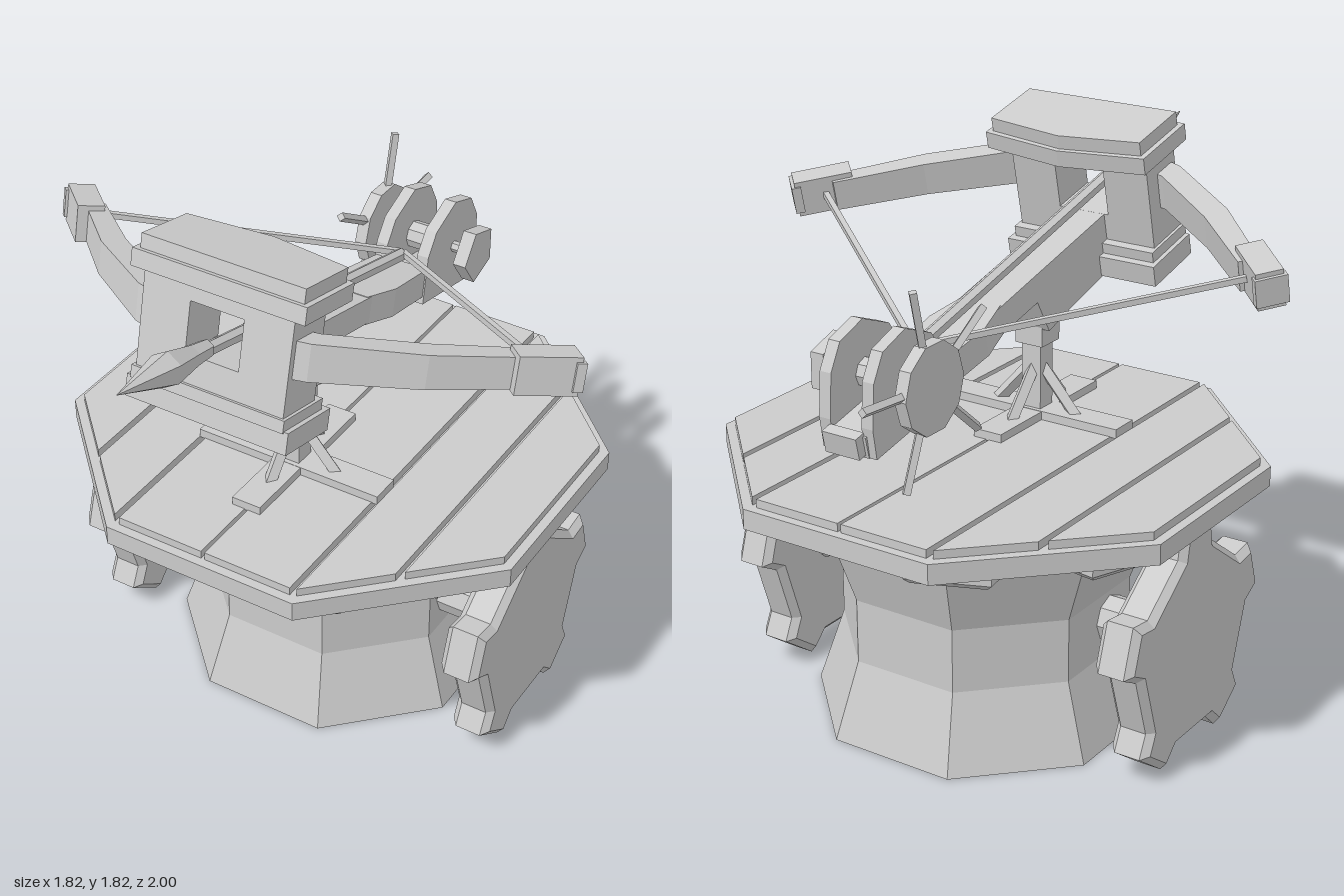
import * as THREE from 'three';

const grey = new THREE.MeshStandardMaterial({ color: 0xcccccc, flatShading: true });
const shell = new THREE.MeshStandardMaterial({ color: 0xcccccc, flatShading: true, side: THREE.DoubleSide });

function add(parent, name, geo, x = 0, y = 0, z = 0, mat = grey) {
  const mesh = new THREE.Mesh(geo, mat);
  mesh.name = name;
  mesh.position.set(x, y, z);
  parent.add(mesh);
  return mesh;
}

const box = (w, h, d) => new THREE.BoxGeometry(w, h, d);
const shapeOf = (pts) => new THREE.Shape(pts.map(([a, b]) => new THREE.Vector2(a, b)));

// extrusion centred on its own depth, with an optional chamfer
function slab(shape, depth, bevel = 0) {
  const geo = new THREE.ExtrudeGeometry(shape, {
    depth: depth - 2 * bevel, bevelEnabled: bevel > 0, bevelThickness: bevel,
    bevelSize: bevel, bevelOffset: -bevel, bevelSegments: 1,
  });
  return geo.translate(0, 0, -(depth - 2 * bevel) / 2);
}
// outline in (z, y), thickness along x
const sideSlab = (pts, width, bevel) => slab(shapeOf(pts), width, bevel).rotateY(-Math.PI / 2);
// outline in (x, z), thickness along y
const planSlab = (pts, height, bevel) => slab(shapeOf(pts), height, bevel).rotateX(Math.PI / 2);

// cog outline: tapered teeth standing on a polygon
function cog(teeth, start, root, tip, rootHalf, tipHalf) {
  const pts = [];
  for (let i = 0; i < teeth; i++) {
    const a = start + (i / teeth) * Math.PI * 2;
    for (const [r, t] of [[root, -rootHalf], [tip, -tipHalf], [tip, tipHalf], [root, rootHalf]]) {
      pts.push([r * Math.cos(a) - t * Math.sin(a), r * Math.sin(a) + t * Math.cos(a)]);
    }
  }
  return pts;
}

// straight bar between two points
function bar(parent, name, from, to, radius, sides = 4) {
  const a = new THREE.Vector3(...from), b = new THREE.Vector3(...to);
  const mesh = add(parent, name, new THREE.CylinderGeometry(radius, radius, a.distanceTo(b), sides));
  mesh.position.copy(a).add(b).multiplyScalar(0.5);
  mesh.quaternion.setFromUnitVectors(new THREE.Vector3(0, 1, 0), b.sub(a).normalize());
  return mesh;
}

function buildCarriage(root) {
  const k = 1 / Math.cos(Math.PI / 8);
  // waisted eight-sided pedestal, open underneath
  const profile = [[0.51, 0], [0.43, 0.25], [0.43, 0.46], [0.51, 0.7]]
    .map(([r, y]) => new THREE.Vector2(r * k, y));
  add(root, 'pedestal', new THREE.LatheGeometry(profile, 8, Math.PI / 8), 0, 0, -0.17, shell);
  add(root, 'turntableCog', planSlab(cog(8, Math.PI / 8, 0.62, 0.7, 0.15, 0.13), 0.095, 0.02), 0, 0.73, -0.1);

  // wheels and axle
  add(root, 'axle', new THREE.CylinderGeometry(0.075, 0.075, 1.24, 8).rotateZ(Math.PI / 2), 0, 0.37, -0.113);
  for (const s of [-1, 1]) {
    add(root, 'wheel', sideSlab(cog(5, Math.PI / 2, 0.31, 0.39, 0.095, 0.08), 0.13, 0.022), s * 0.675, 0.367, -0.113);
  }

  // octagonal deck with planks clipped to its outline
  const deck = new THREE.CylinderGeometry(0.8 * k, 0.8 * k, 0.065, 8).rotateY(Math.PI / 8);
  add(root, 'deck', deck, 0, 0.818, -0.125);
  const reach = (x) => Math.min(0.77, 0.77 * Math.SQRT2 - x);
  for (const s of [-1, 1]) {
    for (const [a, b] of [[0.006, 0.305], [0.325, 0.535], [0.555, 0.77]]) {
      const pts = [[s * a, -reach(a)], [s * b, -reach(b)], [s * b, reach(b)], [s * a, reach(a)]];
      add(root, 'plank', planSlab(pts, 0.03), 0, 0.862, -0.125);
    }
  }
}

function buildStand(root) {
  const z = 0.13;
  add(root, 'footBeam', box(0.65, 0.03, 0.1), 0, 0.89, z);
  add(root, 'crossFootBeam', box(0.1, 0.03, 0.56), 0, 0.889, z);
  add(root, 'post', box(0.07, 0.3, 0.07), 0, 1.05, z);
  add(root, 'postCollar', box(0.1, 0.09, 0.1), 0, 1.165, z);
  for (const [dx, dz] of [[1, 0], [-1, 0], [0, 1], [0, -1]]) {
    bar(root, 'brace', [dx * 0.15, 0.89, z + dz * 0.15], [0, 1.06, z], 0.022);
  }
}

function buildWeapon(root) {
  const w = new THREE.Group();
  w.name = 'ballista';
  w.position.set(0, 1.2, 0.13);
  w.rotation.x = -0.228;
  root.add(w);

  // stock with a deeper front and a flared tail
  add(w, 'stock', sideSlab([[0.49, 0.02], [0.07, 0], [-0.05, -0.01], [-0.09, 0.115], [-0.62, 0.115],
    [-0.62, 0.2], [0.35, 0.21], [0.49, 0.21]], 0.15));
  add(w, 'stockFlare', planSlab([[0.07, -0.27], [0.1, -0.4], [0.09, -0.62], [-0.09, -0.62],
    [-0.1, -0.4], [-0.07, -0.27]], 0.095), 0, 0.158, 0);
  add(w, 'tail', box(0.14, 0.07, 0.38), 0, 0.13, -0.78);
  add(w, 'tailNub', box(0.12, 0.07, 0.04), 0, 0.14, -0.98);

  // housing with a firing window, sill and roof
  const frame = shapeOf([[-0.25, 0.08], [0.25, 0.08], [0.25, 0.43], [-0.25, 0.43]]);
  frame.holes.push(new THREE.Path([[-0.09, 0.21], [-0.09, 0.37], [0.09, 0.37], [0.09, 0.21]]
    .map(([x, y]) => new THREE.Vector2(x, y))));
  add(w, 'housing', slab(frame, 0.17), 0, 0, 0.41);
  add(w, 'sill', box(0.55, 0.07, 0.23), 0, 0.05, 0.385);
  add(w, 'sillTrim', box(0.52, 0.04, 0.21), 0, 0.1, 0.4);
  const roof = (x, f, b) => [[-x, f], [x, f], [x, b], [0, b - 0.04], [-x, b]];
  add(w, 'roof', planSlab(roof(0.29, 0.51, 0.255), 0.055), 0, 0.447, 0);
  add(w, 'roofCap', planSlab(roof(0.272, 0.495, 0.27), 0.045), 0, 0.497, 0);

  // bow arms, tip blocks and string
  for (const s of [-1, 1]) {
    const arm = [[0.2, 0.49], [0.29, 0.46], [0.56, 0.27], [0.79, 0.04], [0.74, 0.0],
      [0.52, 0.2], [0.27, 0.38], [0.2, 0.4]].map(([x, z]) => [s * x, z]);
    const geo = planSlab(arm, 0.12);
    // taper the arm height toward its tip
    const p = geo.attributes.position;
    for (let i = 0; i < p.count; i++) p.setY(i, p.getY(i) * (1.05 - 0.3 * Math.abs(p.getX(i))));
    add(w, 'bowArm', geo, 0, 0.293, 0);
    const tip = add(w, 'bowTip', box(0.085, 0.12, 0.19), s * 0.8, 0.3, 0.02);
    tip.rotation.y = -s * 0.8;
    const rim = add(w, 'bowTipRim', box(0.1, 0.09, 0.03), s * 0.866, 0.3, -0.042);
    rim.rotation.y = -s * 0.8;
    bar(w, 'bowString', [s * 0.77, 0.3, -0.01], [0, 0.24, -0.61], 0.013);
  }

  // bolt
  bar(w, 'boltShaft', [0, 0.235, -0.6], [0, 0.262, 0.62], 0.022, 6);
  const head = [[0, 0], [0.028, 0], [0.035, 0.08], [0.055, 0.2], [0, 0.43]].map(([r, y]) => new THREE.Vector2(r, y));
  add(w, 'boltHead', new THREE.LatheGeometry(head, 6).rotateX(Math.PI / 2), 0, 0.265, 0.53);

  // winch: cheek plates, drum, axle, hub and spoked wheel
  const cheek = [[-0.616, 0.086], [-0.606, 0.249], [-0.639, 0.327], [-0.748, 0.403], [-0.86, 0.39],
    [-0.921, 0.321], [-0.961, 0.191], [-0.967, 0.095]];
  for (const s of [-1, 1]) add(w, 'winchCheek', sideSlab(cheek, 0.04), s * 0.075, 0, 0);
  const winch = new THREE.Group();
  winch.name = 'winch';
  winch.position.set(0, 0.244, -0.779);
  winch.rotation.x = 0.228;
  w.add(winch);
  const disc = (r, t, n) => new THREE.CylinderGeometry(r, r, t, n).rotateZ(Math.PI / 2);
  add(winch, 'winchDrum', disc(0.045, 0.11, 8));
  add(winch, 'winchAxle', disc(0.018, 0.36, 6));
  add(winch, 'winchHub', disc(0.095, 0.045, 5), 0.168);
  add(winch, 'winchWheel', disc(0.14, 0.04, 10), -0.172);
  for (let i = 0; i < 5; i++) {
    const a = 0.08 + (i / 5) * Math.PI * 2;
    bar(winch, 'winchSpoke', [-0.172, 0, 0], [-0.172, 0.31 * Math.sin(a), -0.31 * Math.cos(a)], 0.015);
  }
}

export function createModel() {
  const root = new THREE.Group();
  root.name = 'mobileBallista';
  buildCarriage(root);
  buildStand(root);
  buildWeapon(root);
  return root;
}
